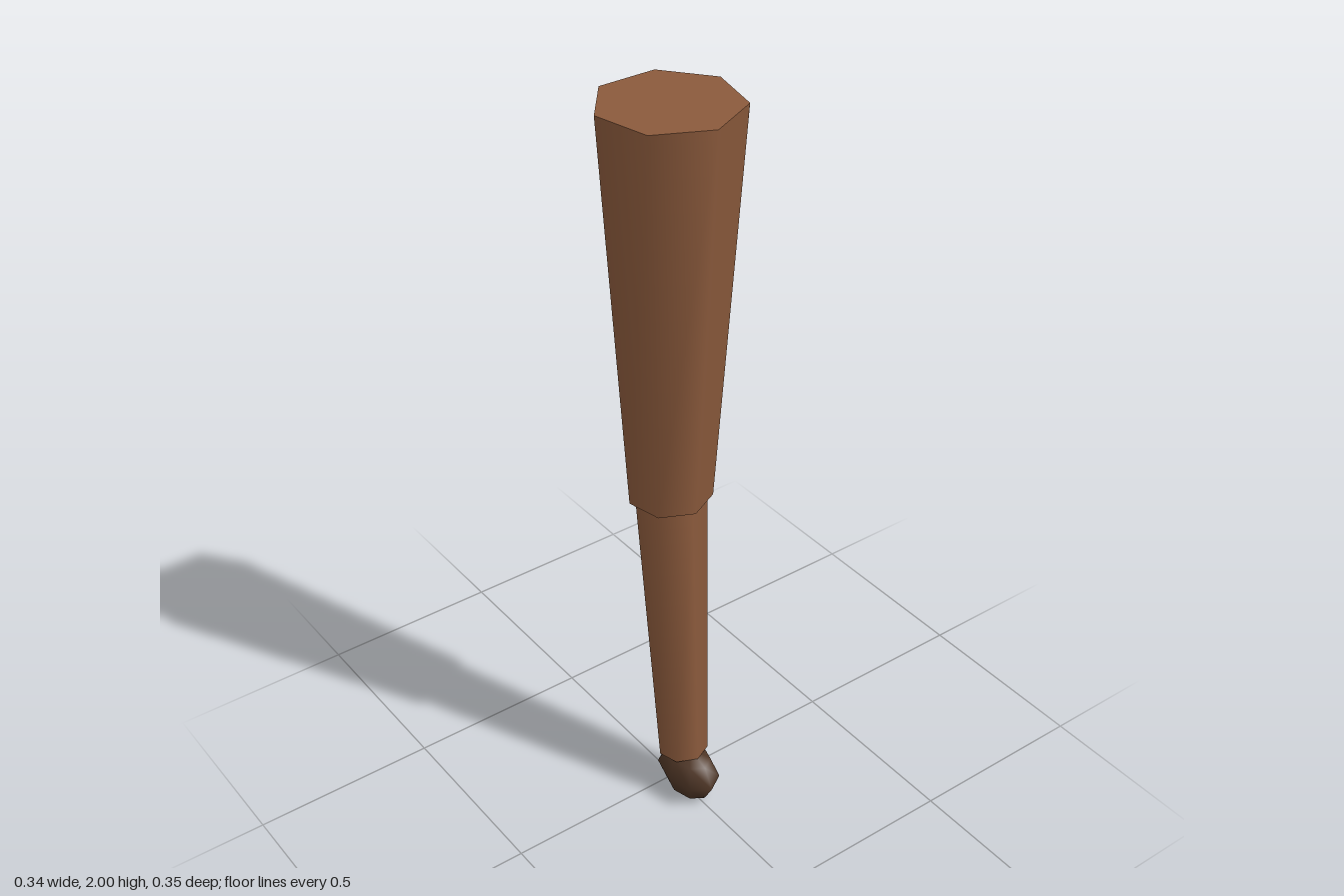
import * as THREE from 'three';

const wood = new THREE.MeshStandardMaterial({ color: 0x8b5a3c });
const darkWood = new THREE.MeshStandardMaterial({ color: 0x4f3626 });

// Seven-sided tapered limb between two centre points in the x = 0 plane
function limb(name, rTop, rBottom, top, bottom) {
  const dy = top.y - bottom.y;
  const dz = top.z - bottom.z;
  const mesh = new THREE.Mesh(
    new THREE.CylinderGeometry(rTop, rBottom, Math.hypot(dy, dz), 7),
    wood
  );
  mesh.name = name;
  mesh.position.addVectors(top, bottom).multiplyScalar(0.5);
  mesh.rotation.x = Math.atan2(dz, dy);
  return mesh;
}

export function createModel() {
  const group = new THREE.Group();
  group.name = 'leg';
  const at = (y, z) => new THREE.Vector3(0, y, z);

  // Upright upper leg and slightly forward-leaning lower leg
  group.add(limb('upperLeg', 0.176, 0.108, at(2, -0.016), at(0.952, -0.016)));
  group.add(limb('lowerLeg', 0.093, 0.067, at(0.945, -0.013), at(0.142, 0.043)));

  // Foot: low-poly ball stretched along z
  const foot = new THREE.Mesh(new THREE.SphereGeometry(1, 8, 4), darkWood);
  foot.name = 'foot';
  foot.scale.set(0.069, 0.077, 0.104);
  foot.position.set(0, 0.082, 0.069);
  group.add(foot);

  return group;
}
